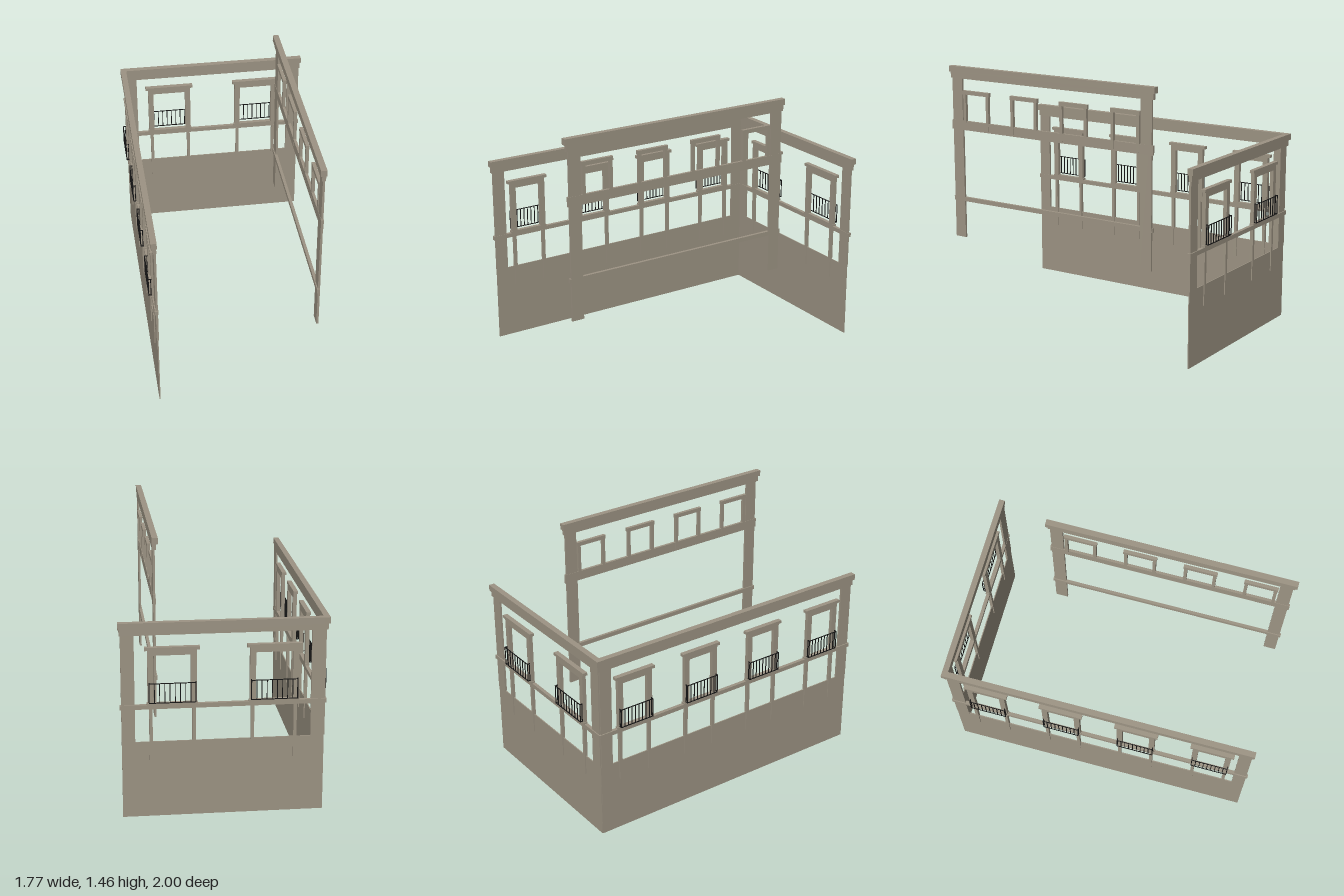
import * as THREE from 'three';

const stone = new THREE.MeshStandardMaterial({ color: 0x9d9484 });
stone.name = 'stone';
const iron = new THREE.MeshStandardMaterial({ color: 0x141414 });
iron.name = 'blackIron';

// Box from ranges: x along the wall, y up, z outward from the wall plane
function box(parent, name, x0, x1, y0, y1, z0, z1, mat = stone) {
  const mesh = new THREE.Mesh(new THREE.BoxGeometry(x1 - x0, y1 - y0, z1 - z0), mat);
  mesh.position.set((x0 + x1) / 2, (y0 + y1) / 2, (z0 + z1) / 2);
  mesh.name = name;
  parent.add(mesh);
  return mesh;
}

function group(parent, name, x = 0) {
  const g = new THREE.Group();
  g.name = name;
  g.position.x = x;
  parent.add(g);
  return g;
}

// A wall is placed by its start corner and heading
function wall(parent, name, x, z, degrees) {
  const g = group(parent, name);
  g.position.set(x, 0, z);
  g.rotation.y = THREE.MathUtils.degToRad(degrees);
  return g;
}

// End pilasters and the two-step cornice; over0 and over1 are the end overhangs
function pilastersAndCornice(w, L, top, over0, over1) {
  for (const x of [0, L - 0.072]) box(w, 'pilaster', x, x + 0.072, 0.43, top - 0.068, -0.006, 0.006);
  box(w, 'corniceLower', -over0 * 0.5, L + over1 * 0.5, top - 0.07, top - 0.035, -0.008, 0.013);
  box(w, 'corniceUpper', -over0, L + over1, top - 0.035, top, -0.011, 0.022);
}

// Thin iron railing standing outside the window, with side returns
function railing(w, half) {
  const g = group(w, 'railing');
  const z = 0.03, y0 = 0.655, y1 = 0.767, r = 0.002;
  for (const y of [y0, y1 - 0.004]) {
    box(g, 'rail', -half, half, y, y + 0.004, z - r, z + r, iron);
    for (const s of [-half, half]) box(g, 'sideRail', s - r, s + r, y, y + 0.004, 0.01, z, iron);
  }
  for (let i = 0; i < 10; i++) {
    const x = -half + (2 * half * i) / 9;
    box(g, 'bar', x - r, x + r, y0, y1, z - r, z + r, iron);
  }
  for (const s of [-half, half]) box(g, 'sideBar', s - r, s + r, y0, y1, 0.016, 0.02, iron);
}

// Balcony window with hood, frame, sill and two strips running down over the base
function balconyWindow(w, x, half) {
  const g = group(w, 'balconyWindow', x);
  box(g, 'hood', -half - 0.015, half + 0.015, 0.943, 0.96, -0.009, 0.018);
  box(g, 'lintel', -half, half, 0.915, 0.943, -0.008, 0.014);
  box(g, 'sill', -half - 0.005, half + 0.005, 0.64, 0.651, -0.008, 0.016);
  for (const s of [-1, 1]) {
    const jamb = s * (half - 0.016);
    box(g, 'jamb', jamb - 0.016, jamb + 0.016, 0.64, 0.915, -0.008, 0.014);
    const strip = s * (half - 0.016);
    box(g, 'lowerStrip', strip - 0.009, strip + 0.009, 0.315, 0.62, -0.009, 0.009);
  }
  railing(g, half - 0.007);
}

// Street wall: solid base, belt course and evenly spaced balcony windows
function streetWall(w, L, count, half, over0, over1) {
  box(w, 'base', 0, L, 0, 0.43, -0.003, 0.003);
  box(w, 'beltCourse', -0.008, L + 0.008, 0.617, 0.641, -0.008, 0.012);
  pilastersAndCornice(w, L, 1.097, over0, over1);
  for (let i = 0; i < count; i++) balconyWindow(w, (L * (i + 0.5)) / count, half);
}

// Tall open wall: two belts and plain upper windows
function upperWall(w, L) {
  pilastersAndCornice(w, L, 1.46, 0.02, 0.02);
  box(w, 'lowerBelt', -0.008, L + 0.008, 0.652, 0.677, -0.005, 0.012);
  box(w, 'upperBelt', -0.008, L + 0.008, 1.085, 1.14, -0.007, 0.008);
  for (let i = 0; i < 4; i++) {
    const g = group(w, 'upperWindow', (L * (i + 0.5)) / 4);
    box(g, 'lintel', -0.096, 0.096, 1.298, 1.321, -0.009, 0.01);
    for (const s of [-1, 1]) box(g, 'jamb', s * 0.083 - 0.009, s * 0.083 + 0.009, 1.095, 1.298, -0.009, 0.009);
  }
}

export function createModel() {
  const model = new THREE.Group();
  model.name = 'facades';
  const tilt = 24.8, a = THREE.MathUtils.degToRad(tilt);
  const corner = [-0.125, -0.97];

  // Long wall starts at the shared corner
  streetWall(wall(model, 'longWall', ...corner, -90 - tilt), 1.754, 4, 0.11, 0.022, 0.012);

  // Short wall ends at the shared corner
  const L = 1.087;
  const start = [corner[0] + L * Math.cos(a), corner[1] + L * Math.sin(a)];
  streetWall(wall(model, 'shortWall', ...start, 180 - tilt), L, 2, 0.131, 0.012, 0.022);

  // Separate taller wall, parallel to the long one
  upperWall(wall(model, 'tallWall', 0.522, -0.273, -90 - tilt), 1.38);
  return model;
}
